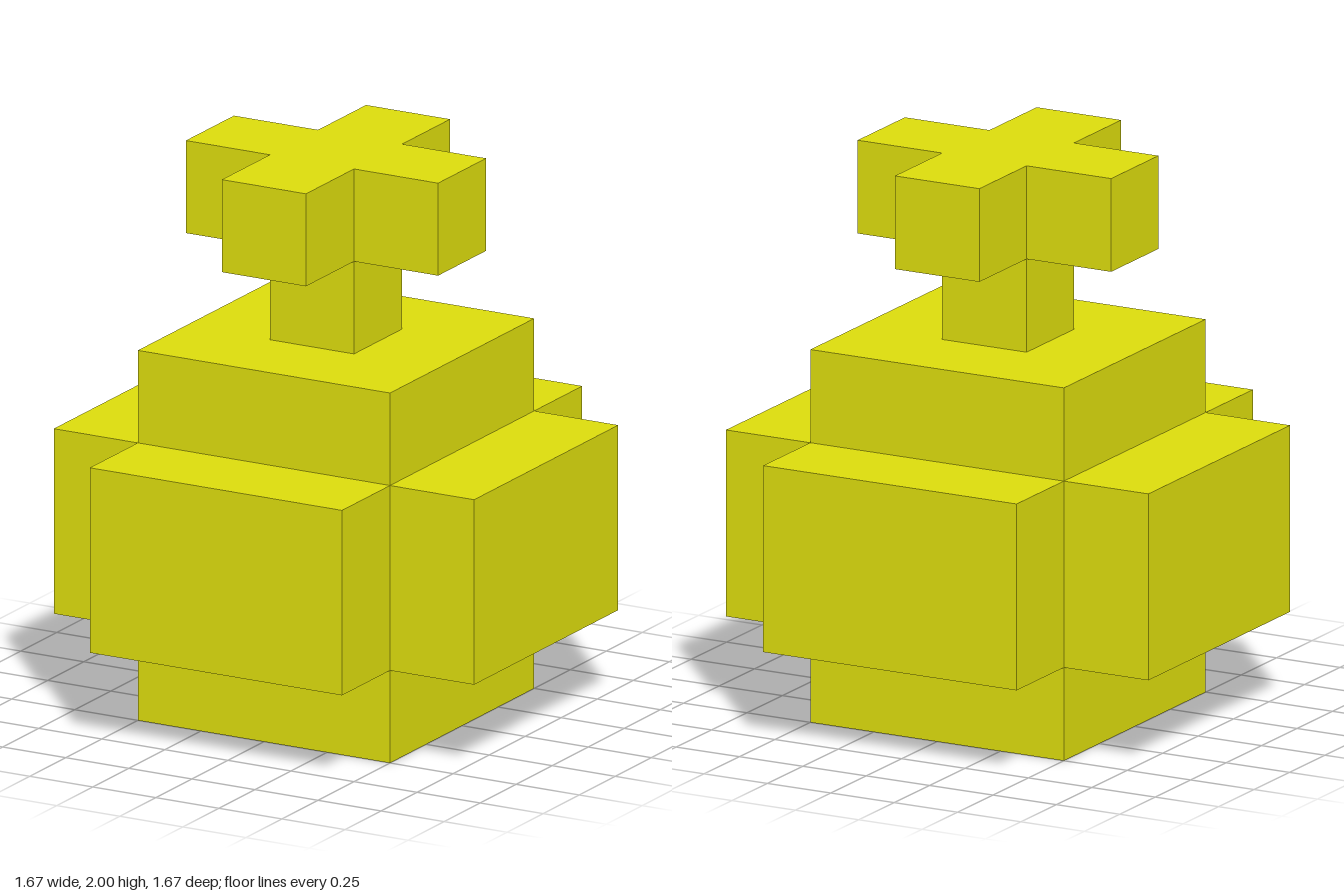
import * as THREE from 'three';

const U = 1 / 3; // one block

export function createModel() {
  const group = new THREE.Group();
  const material = new THREE.MeshStandardMaterial({ color: 0xdddd0d, flatShading: true });

  const add = (name, geometry, y) => {
    const mesh = new THREE.Mesh(geometry, material);
    mesh.name = name;
    mesh.position.y = y;
    group.add(mesh);
  };

  // Square block standing on height y
  const block = (name, width, height, y) =>
    add(name, new THREE.BoxGeometry(width, height, width), y + height / 2);

  // Plus-shaped slab: a = half width of an arm, b = reach of an arm
  const cross = (name, a, b, height, y) => {
    const points = [];
    for (let i = 0; i < 4; i++) {
      for (const [px, py] of [[b, -a], [b, a], [a, a]]) {
        points.push(new THREE.Vector2(px, py).rotateAround(new THREE.Vector2(), i * Math.PI / 2));
      }
    }
    const geometry = new THREE.ExtrudeGeometry(new THREE.Shape(points), { depth: height, bevelEnabled: false });
    geometry.rotateX(-Math.PI / 2);
    add(name, geometry, y);
  };

  block('bodyCore', 3 * U, 4 * U, 0);
  cross('bodySides', 1.5 * U, 2.5 * U, 2 * U, U);
  block('stem', U, U, 4 * U);
  cross('topCross', 0.5 * U, 1.5 * U, U, 5 * U);

  return group;
}
